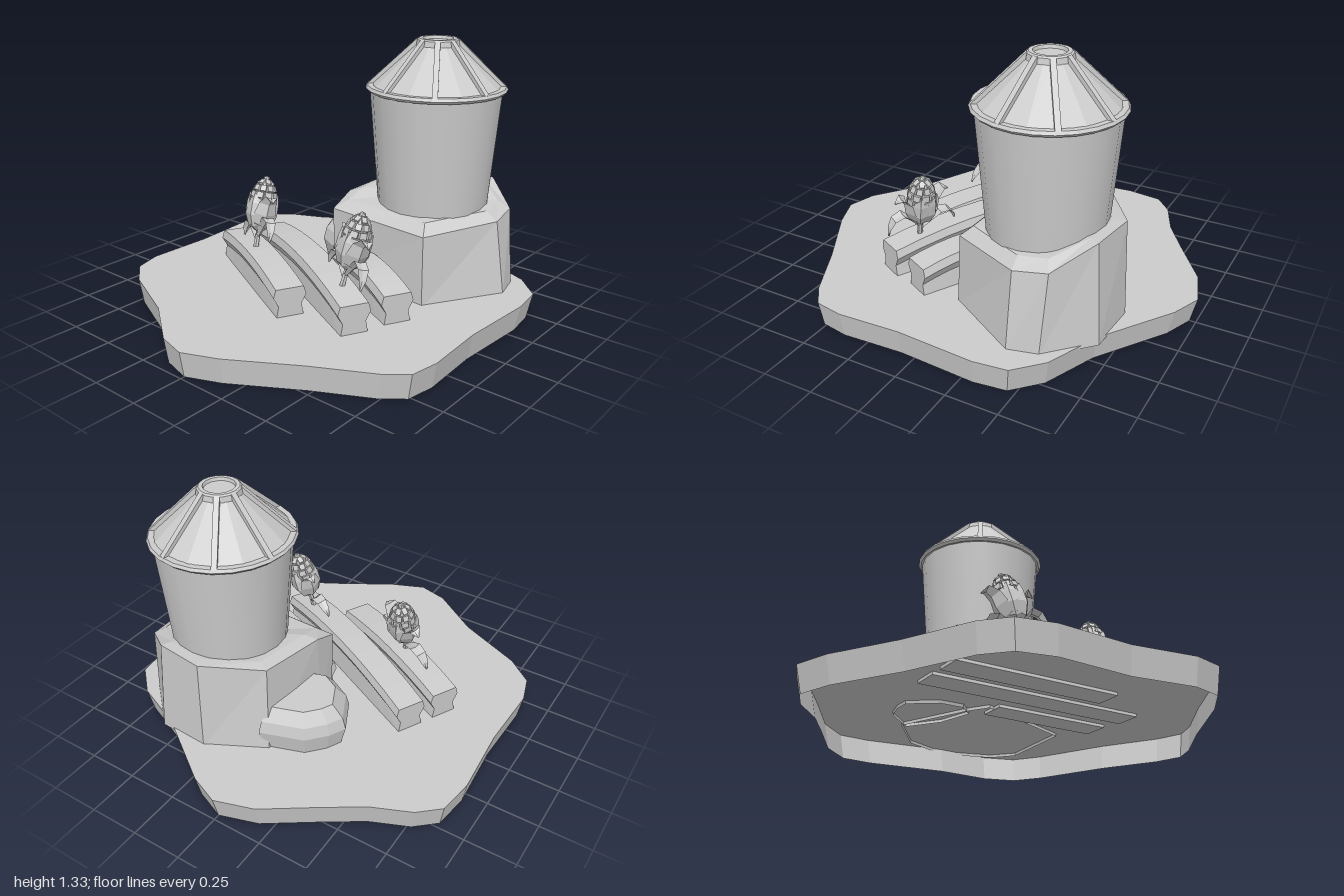
import * as THREE from 'three';

const grey = () => new THREE.MeshStandardMaterial({ color: 0xcccccc, flatShading: true, side: THREE.DoubleSide });
const flat = grey();
const smooth = new THREE.MeshStandardMaterial({ color: 0xcccccc, side: THREE.DoubleSide });

function add(parent, name, geometry, material = flat) {
  const m = new THREE.Mesh(geometry, material);
  m.name = name;
  parent.add(m);
  return m;
}

// Skin over rings of [x, y, z] points, each ring counter-clockwise about the axis
function loft(rings, capStart = true, capEnd = true) {
  const pos = [];
  const tri = (...p) => p.forEach((q) => pos.push(...q));
  const n = rings[0].length;
  for (let k = 0; k < rings.length - 1; k++) {
    const a = rings[k], b = rings[k + 1];
    for (let i = 0; i < n; i++) {
      const j = (i + 1) % n;
      tri(a[i], a[j], b[j]);
      tri(a[i], b[j], b[i]);
    }
  }
  const cap = (r, flip) => {
    const c = [0, 1, 2].map((d) => r.reduce((s, p) => s + p[d], 0) / n);
    for (let i = 0; i < n; i++) {
      const j = (i + 1) % n;
      if (flip) tri(c, r[j], r[i]); else tri(c, r[i], r[j]);
    }
  };
  if (capStart) cap(rings[0], true);
  if (capEnd) cap(rings[rings.length - 1], false);
  const g = new THREE.BufferGeometry();
  g.setAttribute('position', new THREE.Float32BufferAttribute(pos, 3));
  g.computeVertexNormals();
  return g;
}

// Ring moved toward a centre by factor s, with a new height rule
const inset = (ring, cx, cz, s, y) => ring.map(([x, h, z]) => [cx + (x - cx) * s, y(h), cz + (z - cz) * s]);

// Island plate, open underneath
function makeGround() {
  const outline = [[0, -1], [.15, -.94], [.49, -.71], [.75, -.60], [.875, -.48], [.895, -.32], [.87, .07], [.885, .38],
    [.86, .52], [.76, .60], [.49, .74], [.17, .93], [0, 1], [-.15, .96], [-.4, .78], [-.73, .63], [-.86, .52],
    [-.9, .38], [-.89, .04], [-.915, -.31], [-.89, -.49], [-.79, -.58], [-.605, -.66], [-.43, -.775], [-.19, -.94]].reverse();
  const top = outline.map(([x, z]) => [x, .125, z]);
  return loft([inset(top, 0, 0.2, .975, () => 0), top], false, true);
}

// Boulder under the silo: foot, sloping shoulder, bevelled top
function makeBigRock() {
  const foot = [[-.04, -.08], [.53, -.03], [.755, -.40], [.72, -.54], [.52, -.73], [.26, -.745], [-.02, -.6], [-.05, -.2]]
    .map(([x, z]) => [x, .11, z]);
  const shoulder = [[-.04, .47, -.07], [.52, .46, -.04], [.70, .48, -.40], [.68, .50, -.56],
    [.50, .59, -.70], [.26, .59, -.73], [0, .56, -.56], [-.045, .53, -.21]];
  return loft([foot, shoulder, inset(shoulder, .34, -.385, .84, (h) => h * .6 + .235)], false);
}

function makeSmallRock() {
  const belly = [[-.11, -.155], [0, -.19], [.05, -.4], [.02, -.62], [-.19, -.55], [-.27, -.46], [-.31, -.38], [-.23, -.22]]
    .map(([x, z]) => [x, .22, z]);
  const at = (s, y) => inset(belly, -.08, -.4, s, () => y);
  return loft([at(.88, .11), belly, at(.93, .28), at(.7, .345)], false);
}

// Tapered silo with a ribbed conical roof
function makeSilo() {
  const silo = new THREE.Group();
  silo.name = 'silo';
  silo.position.set(.34, 0, -.385);
  add(silo, 'siloWall', new THREE.CylinderGeometry(.32, .262, .7, 20, 1, true), smooth).position.y = .74;
  const ring = (name, profile, n) => add(silo, name,
    new THREE.LatheGeometry(profile.map(([r, y]) => new THREE.Vector2(r, y)), n));
  ring('eaveRing', [[.29, 1.075], [.328, 1.075], [.34, 1.088], [.332, 1.102], [.305, 1.102]], 24);
  const rib = 77 * Math.PI / 180;
  const roof = add(silo, 'roofPanels', new THREE.CylinderGeometry(.085, .325, .225, 16, 1, true));
  roof.position.y = 1.1975;
  roof.rotation.y = rib - Math.PI / 2;
  ring('roofCollar', [[.105, 1.292], [.1, 1.318], [.092, 1.325], [.074, 1.325], [.07, 1.31], [0, 1.31]], 16);
  const run = .325 - .092, rise = .222, slope = Math.hypot(run, rise);
  for (let i = 0; i < 8; i++) {
    const arm = new THREE.Group();
    arm.name = 'roofRibArm';
    arm.rotation.y = rib + i * Math.PI / 4;
    const r = add(arm, 'roofRib', new THREE.BoxGeometry(slope, .02, .026));
    r.position.set((.325 + .092) / 2, 1.204, 0);
    r.rotation.z = -Math.atan2(rise, run);
    silo.add(arm);
  }
  return silo;
}

// Arched planting bed with a lipped, pinched cross-section
function makeBed(x, z, length, arch) {
  const half = [[.068, .275], [.08, .235], [.056, .19], [.068, .11]];
  const section = [...half, ...half.map(([w, y]) => [-w, y]).reverse()];
  const rings = [];
  for (let i = 0; i <= 8; i++) {
    const t = i / 4 - 1;
    const lift = arch * (1 - t * t);
    rings.push(section.map(([w, y]) => [t * length / 2, y > .15 ? y - .012 + lift : y, w]));
  }
  const bed = new THREE.Mesh(loft(rings), flat);
  bed.name = 'plantingBed';
  bed.position.set(x, 0, z);
  bed.rotation.y = -.48;
  return bed;
}

// Curved leaf swept along [radius, height, half width] points
function makeLeaf(path, cup) {
  const rings = path.map(([r, y, w], i) => {
    const a = path[Math.max(i - 1, 0)], b = path[Math.min(i + 1, path.length - 1)];
    const l = Math.hypot(b[0] - a[0], b[1] - a[1]);
    const nr = -(b[1] - a[1]) / l, ny = (b[0] - a[0]) / l;
    const at = (d, s) => [r + nr * d, y + ny * d, s];
    const c = cup * w;
    return [at(.004, 0), at(c, w), at(-.006, 0), at(c, -w)];
  });
  return loft(rings);
}

function makeCorn(x, y, z, tiltX, tiltZ) {
  const corn = new THREE.Group();
  corn.name = 'cornPlant';
  corn.position.set(x, y, z);
  corn.rotation.set(tiltX, -.48, tiltZ, 'XZY');
  add(corn, 'stem', new THREE.CylinderGeometry(.012, .014, .14, 6)).position.y = .05;

  // Long drooping leaves
  const long = [
    [[0, .03, .008], [.05, .075, .022], [.1, .11, .03], [.145, .105, .026], [.175, .07, .018], [.19, .035, .004]],
    [[0, .05, .008], [.05, .11, .022], [.1, .155, .03], [.14, .14, .026], [.16, .1, .018], [.17, .055, .004]]];
  long.forEach((p, i) => { add(corn, 'longLeaf', makeLeaf(p, .35)).rotation.y = Math.PI * (1 - i); });

  // Husk: alternate curled and upright leaves
  const curled = [[.008, .085, .012], [.055, .115, .045], [.078, .17, .058], [.085, .225, .045], [.11, .255, .03], [.14, .24, .004]];
  const upright = [[.008, .085, .012], [.05, .11, .045], [.074, .165, .058], [.074, .225, .04], [.066, .27, .004]];
  for (let i = 0; i < 6; i++) {
    add(corn, 'huskLeaf', makeLeaf(i % 3 ? upright : curled, .4)).rotation.y = i * Math.PI / 3;
  }

  // Cob core and rows of kernels
  add(corn, 'cobCore', new THREE.LatheGeometry([[0, .08], [.045, .12], [.055, .2], [.05, .28], [.032, .33], [0, .35]]
    .map(([r, h]) => new THREE.Vector2(r, h)), 10));
  const rows = [[.055, .2, 0], [.057, .233, .05], [.053, .266, .2], [.043, .298, .45], [.025, .326, .9]];
  rows.forEach(([r, h, lean], k) => {
    const n = k === 4 ? 6 : 9;
    const w = 2 * Math.PI * r / n * .92;
    for (let i = 0; i < n; i++) {
      const kernel = add(corn, 'kernel', new THREE.BoxGeometry(.022, .029, w));
      const a = (i + (k % 2) * .25) / n * Math.PI * 2;
      kernel.position.set(r * Math.cos(a), h, -r * Math.sin(a));
      kernel.rotation.set(0, a, lean);
    }
  });
  add(corn, 'cobTip', new THREE.IcosahedronGeometry(.018, 0)).position.y = .345;
  return corn;
}

export function createModel() {
  const model = new THREE.Group();
  model.name = 'farmIsland';
  add(model, 'ground', makeGround());
  add(model, 'bigRock', makeBigRock());
  add(model, 'smallRock', makeSmallRock());
  model.add(makeSilo());
  model.add(makeBed(-.238, .253, .825, .035));
  model.add(makeBed(-.025, .14, 1.1, .055));
  model.add(makeBed(.274, .045, .61, .04));
  model.add(makeCorn(-.29, .29, .235, -.3, .04));
  model.add(makeCorn(.325, .285, .31, -.2, -.17));
  return model;
}
